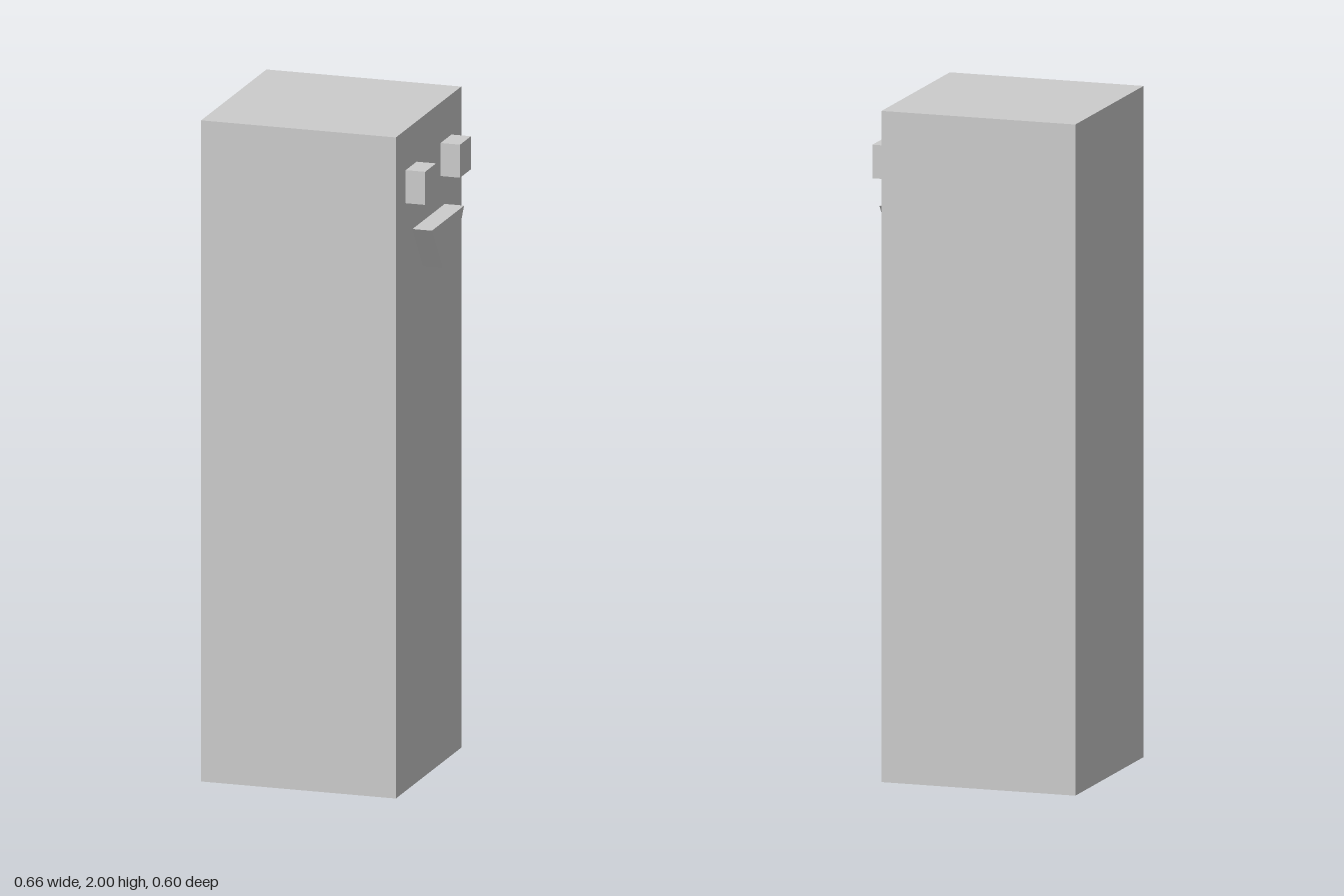
import * as THREE from 'three';

export function createModel() {
  const model = new THREE.Group();
  const material = new THREE.MeshStandardMaterial({ color: 0xcccccc, flatShading: true });
  const faceX = 0.27; // plane of the face
  const relief = 0.06; // how far the features stand out

  const add = (name, geometry, x, y, z) => {
    const mesh = new THREE.Mesh(geometry, material);
    mesh.name = name;
    mesh.position.set(x, y, z);
    model.add(mesh);
    return mesh;
  };

  // Tall square pillar
  add('body', new THREE.BoxGeometry(0.6, 2, 0.6), faceX - 0.3, 1, 0);

  // Pair of block eyes
  for (const side of [1, -1]) {
    add(side > 0 ? 'frontEye' : 'backEye',
      new THREE.BoxGeometry(relief, 0.1, 0.1), faceX + relief / 2, 1.828, side * 0.16);
  }

  // Trapezoid mouth, extruded outwards from the face
  const outline = new THREE.Shape([
    new THREE.Vector2(-0.05, 1.547),
    new THREE.Vector2(0.05, 1.547),
    new THREE.Vector2(0.148, 1.684),
    new THREE.Vector2(-0.148, 1.684),
  ]);
  const mouth = new THREE.ExtrudeGeometry(outline, { depth: relief, bevelEnabled: false });
  add('mouth', mouth, faceX, 0, 0).rotation.y = Math.PI / 2;

  return model;
}
